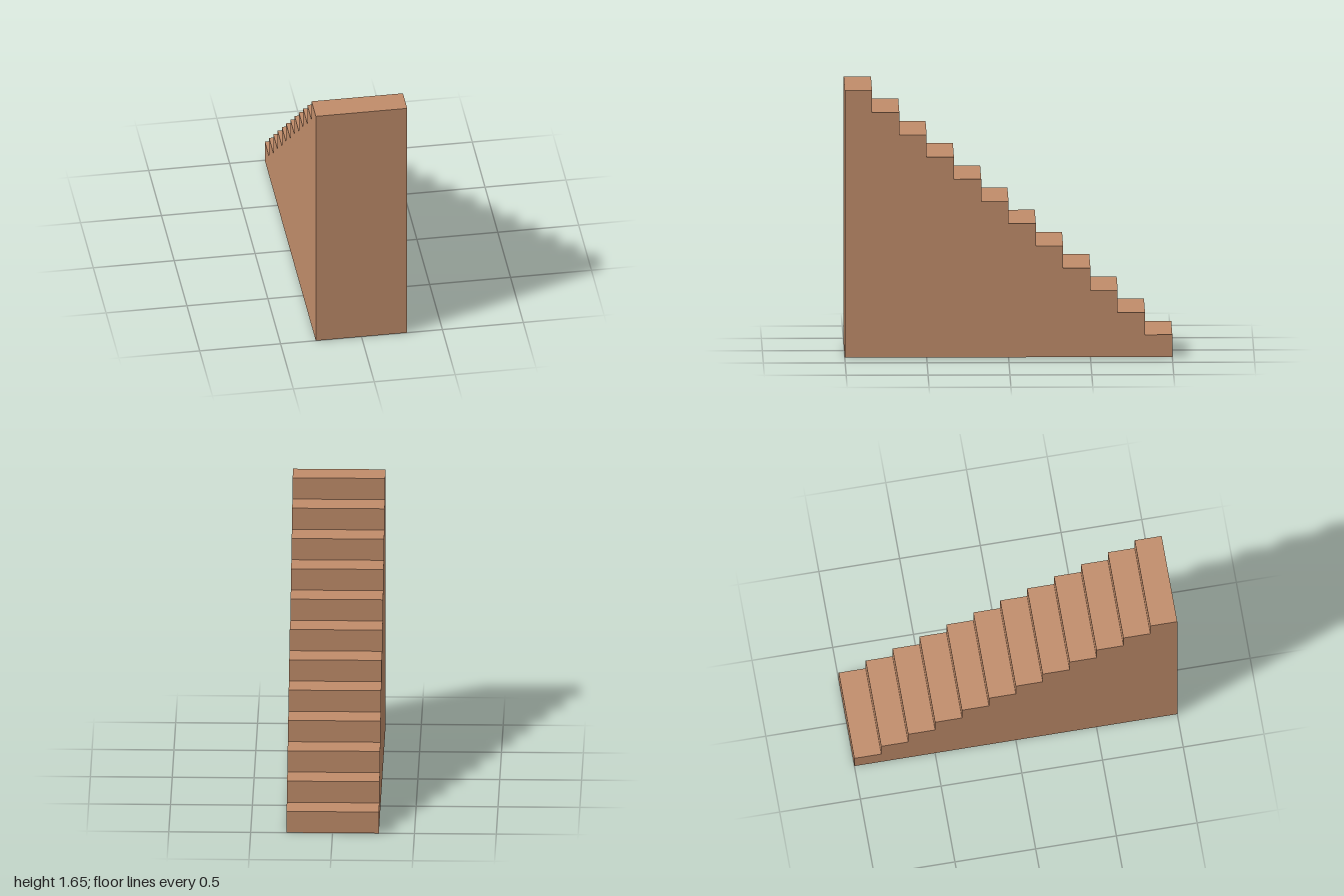
import * as THREE from 'three';

const STEPS = 12, WIDTH = 0.565, HEIGHT = 1.65, LENGTH = 2;

export function createModel() {
  const group = new THREE.Group();
  group.name = 'staircase';

  const clay = new THREE.MeshStandardMaterial({ color: 0xc08c6a });
  clay.name = 'clay brown';

  // Side profile: flat base, tall wall at +z, steps descending towards -z
  const tread = LENGTH / STEPS, riser = HEIGHT / STEPS;
  const profile = new THREE.Shape();
  profile.moveTo(-LENGTH / 2, 0);
  profile.lineTo(LENGTH / 2, 0);
  for (let i = 0; i < STEPS; i++) {
    const y = HEIGHT - i * riser;
    profile.lineTo(LENGTH / 2 - i * tread, y);
    profile.lineTo(LENGTH / 2 - (i + 1) * tread, y);
  }
  profile.closePath();

  // Extrude across the width, then turn the profile to run along z
  const geometry = new THREE.ExtrudeGeometry(profile, { depth: WIDTH, bevelEnabled: false });
  geometry.translate(0, 0, -WIDTH / 2);
  geometry.rotateY(-Math.PI / 2);

  const stairs = new THREE.Mesh(geometry, clay);
  stairs.name = 'solidStairs';
  group.add(stairs);
  return group;
}
